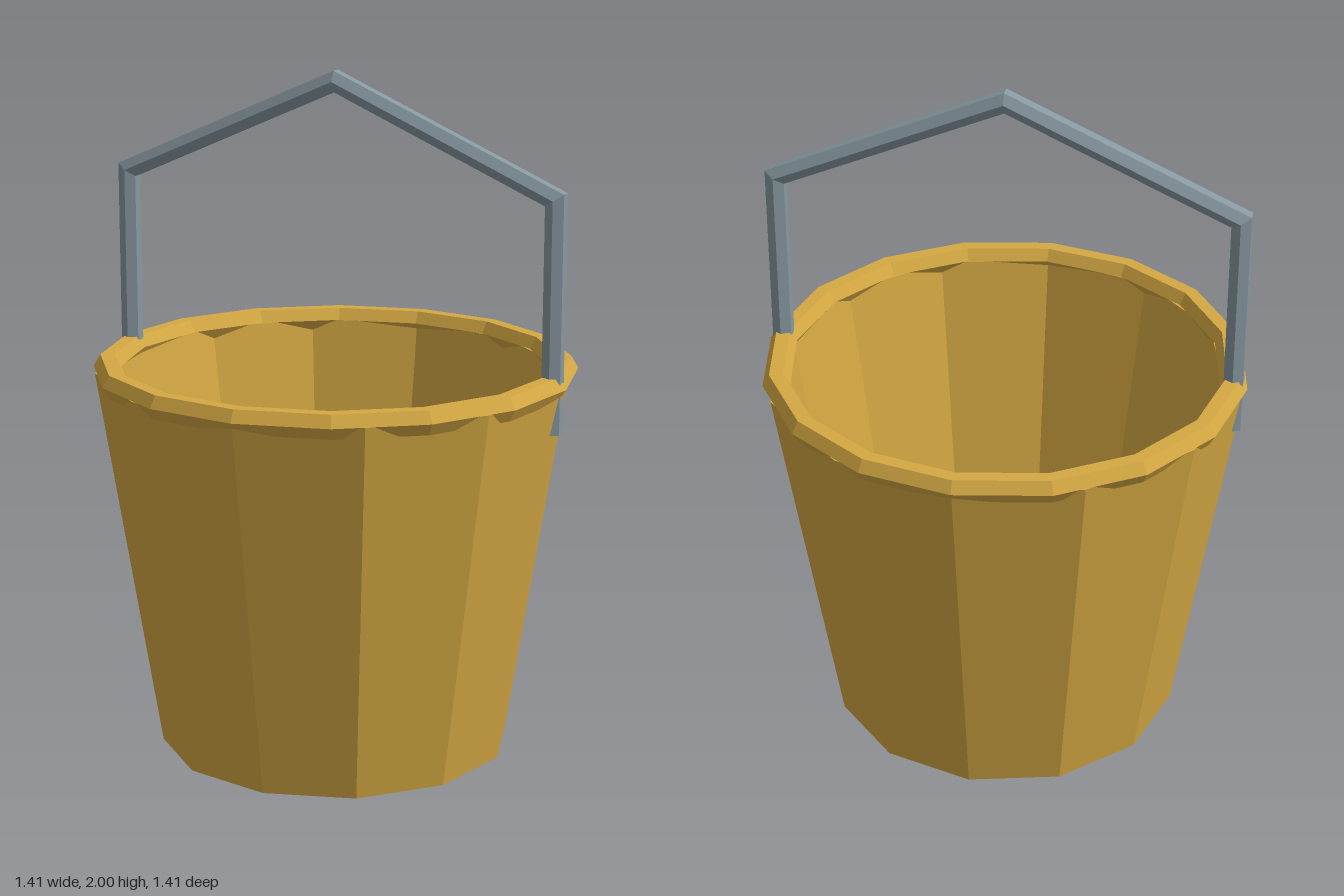
import * as THREE from 'three';

// Sweeps a polygon along a path in the xy plane, with mitred corners and end caps.
function mitredBar(path, radius, sides) {
  const pos = [], idx = [];
  path.forEach((p, i) => {
    const a = path[Math.max(i - 1, 0)], b = path[Math.min(i + 1, path.length - 1)];
    const tin = (i > 0 ? p.clone().sub(a) : b.clone().sub(p)).normalize();
    const tout = (i < path.length - 1 ? b.clone().sub(p) : tin.clone()).normalize();
    const t = tin.clone().add(tout).normalize();
    const miter = 1 / t.dot(tin);
    for (let j = 0; j < sides; j++) {
      const ang = (j / sides) * Math.PI * 2;
      const n = Math.sin(ang) * radius * miter;
      pos.push(p.x + t.y * n, p.y - t.x * n, Math.cos(ang) * radius);
    }
  });
  const last = (path.length - 1) * sides;
  for (let r = 0; r < last; r += sides) {
    for (let j = 0; j < sides; j++) {
      const k = (j + 1) % sides;
      idx.push(r + j, r + k, r + sides + k, r + j, r + sides + k, r + sides + j);
    }
  }
  for (let j = 1; j < sides - 1; j++) {
    idx.push(0, j + 1, j, last, last + j, last + j + 1);
  }
  const geo = new THREE.BufferGeometry();
  geo.setAttribute('position', new THREE.Float32BufferAttribute(pos, 3));
  geo.setIndex(idx);
  const flat = geo.toNonIndexed();
  flat.computeVertexNormals();
  return flat;
}

export function createModel() {
  const model = new THREE.Group();
  model.name = 'bucket';

  const yellow = new THREE.MeshStandardMaterial({ color: 0xd4a843 });
  yellow.name = 'ochre yellow';
  const metal = new THREE.MeshStandardMaterial({ color: 0x8798a0 });
  metal.name = 'grey metal';

  const add = (name, geo, mat) => {
    const flat = geo.index ? geo.toNonIndexed() : geo;
    flat.computeVertexNormals(); // faceted
    const mesh = new THREE.Mesh(flat, mat);
    mesh.name = name;
    model.add(mesh);
    return mesh;
  };

  // Hollow twelve-sided pail: underside, outer wall, lip, inner wall, floor
  const profile = [[0, 0], [0.52, 0], [0.7, 1.135], [0.64, 1.135], [0.467, 0.05], [0, 0.05]]
    .map(([x, y]) => new THREE.Vector2(x, y));
  add('pailBody', new THREE.LatheGeometry(profile, 12), yellow);

  // Rolled rim
  const rim = new THREE.TorusGeometry(0.667, 0.04, 6, 16);
  rim.rotateX(Math.PI / 2);
  rim.translate(0, 1.135, 0);
  add('rim', rim, yellow);

  // Peaked carrying handle, running down through the rim on both sides
  const path = [[0.667, 1.005], [0.667, 1.675], [0, 1.97], [-0.667, 1.675], [-0.667, 1.005]]
    .map(([x, y]) => new THREE.Vector2(x, y));
  add('handle', mitredBar(path, 0.032, 6), metal);

  return model;
}
